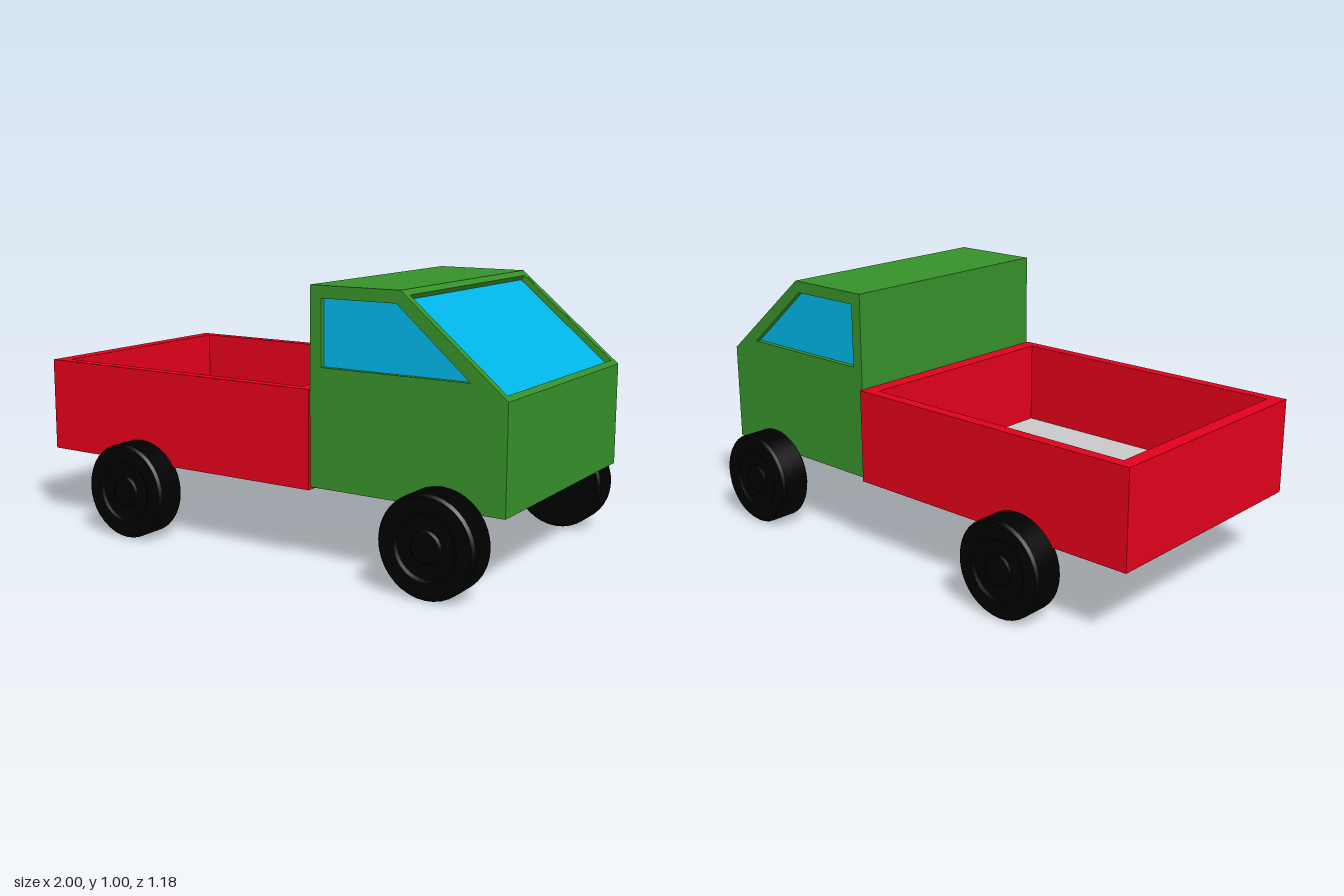
import * as THREE from 'three';
import { toCreasedNormals } from 'three/addons/utils/BufferGeometryUtils.js';

const paint = (name, color) => {
  const m = new THREE.MeshStandardMaterial({ color });
  m.name = name;
  return m;
};

export function createModel() {
  const red = paint('bed red', 0xe2001a);
  const green = paint('cab green', 0x36912a);
  const blue = paint('glass blue', 0x00bcf0);
  const grey = paint('floor grey', 0xc8c8c8);
  const black = paint('tyre black', 0x000000);

  const truck = new THREE.Group();
  truck.name = 'pickupTruck';
  const add = (name, geometry, material, parent = truck) => {
    const mesh = new THREE.Mesh(geometry, material);
    mesh.name = name;
    parent.add(mesh);
    return mesh;
  };
  const outline = (pts) => pts.map(([x, y]) => new THREE.Vector2(x, y));
  // Side profile (x, y) extruded across z0..z1, with an optional hole
  const prism = (pts, z0, z1, hole) => {
    const shape = new THREE.Shape(outline(pts));
    if (hole) shape.holes.push(new THREE.Path(outline(hole)));
    const g = new THREE.ExtrudeGeometry(shape, { depth: z1 - z0, bevelEnabled: false });
    return g.translate(0, 0, z0);
  };

  // Cab
  const cab = new THREE.Group();
  cab.name = 'cab';
  truck.add(cab);
  const W = 0.472, INNER = 0.45, GLASS = 0.443;
  const profile = [[0.24, 0.288], [1, 0.288], [1, 0.672], [0.6, 1.005], [0.24, 1.005]];
  const sideHole = [[0.285, 0.72], [0.865, 0.72], [0.585, 0.96], [0.285, 0.96]];

  // Core, with its sloping face set back behind the windscreen frame
  add('cabBody', prism([[0.24, 0.288], [1, 0.288], [1, 0.638], [0.559, 1.005], [0.24, 1.005]], -INNER, INNER), green, cab);
  for (const s of [1, -1]) {
    const side = s > 0 ? 'left' : 'right';
    // The truck's front end is +x; each side panel frames a recessed window
    add(side + 'CabPanel', prism(profile, s > 0 ? INNER : -W, s > 0 ? W : -INNER, sideHole), green, cab);
    const z = s * (INNER + 0.001);
    add(side + 'SideWindow', prism(sideHole, z - 0.001, z + 0.001), blue, cab);
  }

  // Windscreen frame: bars across the top and bottom, posts at the ends
  const top = [0.62, 0.988], low = [0.982, 0.687];
  const inward = ([x, y], d) => [x - 0.64 * d, y - 0.769 * d];
  const D = 0.026;
  add('windscreenTopBar', prism([[0.6, 1.005], [0.559, 1.005], inward(top, D), top], -INNER, INNER), green, cab);
  add('windscreenLowBar', prism([[1, 0.672], low, inward(low, D), [1, 0.638]], -INNER, INNER), green, cab);
  for (const s of [1, -1]) {
    const z0 = s > 0 ? GLASS : -INNER;
    add('windscreenPost', prism([top, inward(top, D), inward(low, D), low], z0, z0 + INNER - GLASS), green, cab);
  }
  add('windscreen', prism([inward(top, D - 0.003), inward(top, D), inward(low, D), inward(low, D - 0.003)], -GLASS, GLASS), blue, cab);

  // Open load bed
  const bed = new THREE.Group();
  bed.name = 'loadBed';
  truck.add(bed);
  const rim = [[-1, -0.483], [0.24, -0.483], [0.24, 0.483], [-1, 0.483]];
  const well = [[-0.945, -0.44], [0.182, -0.44], [0.182, 0.44], [-0.945, 0.44]];
  add('bedWalls', prism(rim, 0.278, 0.64, well).rotateX(-Math.PI / 2), red, bed);
  add('bedBase', prism(well, 0.278, 0.313).rotateX(-Math.PI / 2), red, bed);
  add('bedFloor', prism(well, 0.313, 0.32).rotateX(-Math.PI / 2), grey, bed);

  // Wheels, turned from one profile with a shallow ringed outer face
  const wheelProfile = [
    [0, 0], [0.172, 0], [0.182, 0.01], [0.182, 0.115], [0.173, 0.125],
    [0.118, 0.125], [0.108, 0.118], [0.06, 0.118], [0.052, 0.124], [0, 0.124],
  ];
  const wheel = toCreasedNormals(new THREE.LatheGeometry(outline(wheelProfile), 36), 0.5);
  for (const [end, x] of [['front', 0.769], ['rear', -0.54]]) {
    for (const s of [1, -1]) {
      const m = add(end + (s > 0 ? 'Left' : 'Right') + 'Wheel', wheel, black);
      m.position.set(x, 0.183, s * 0.464);
      m.rotation.x = s * Math.PI / 2;
    }
  }
  return truck;
}
